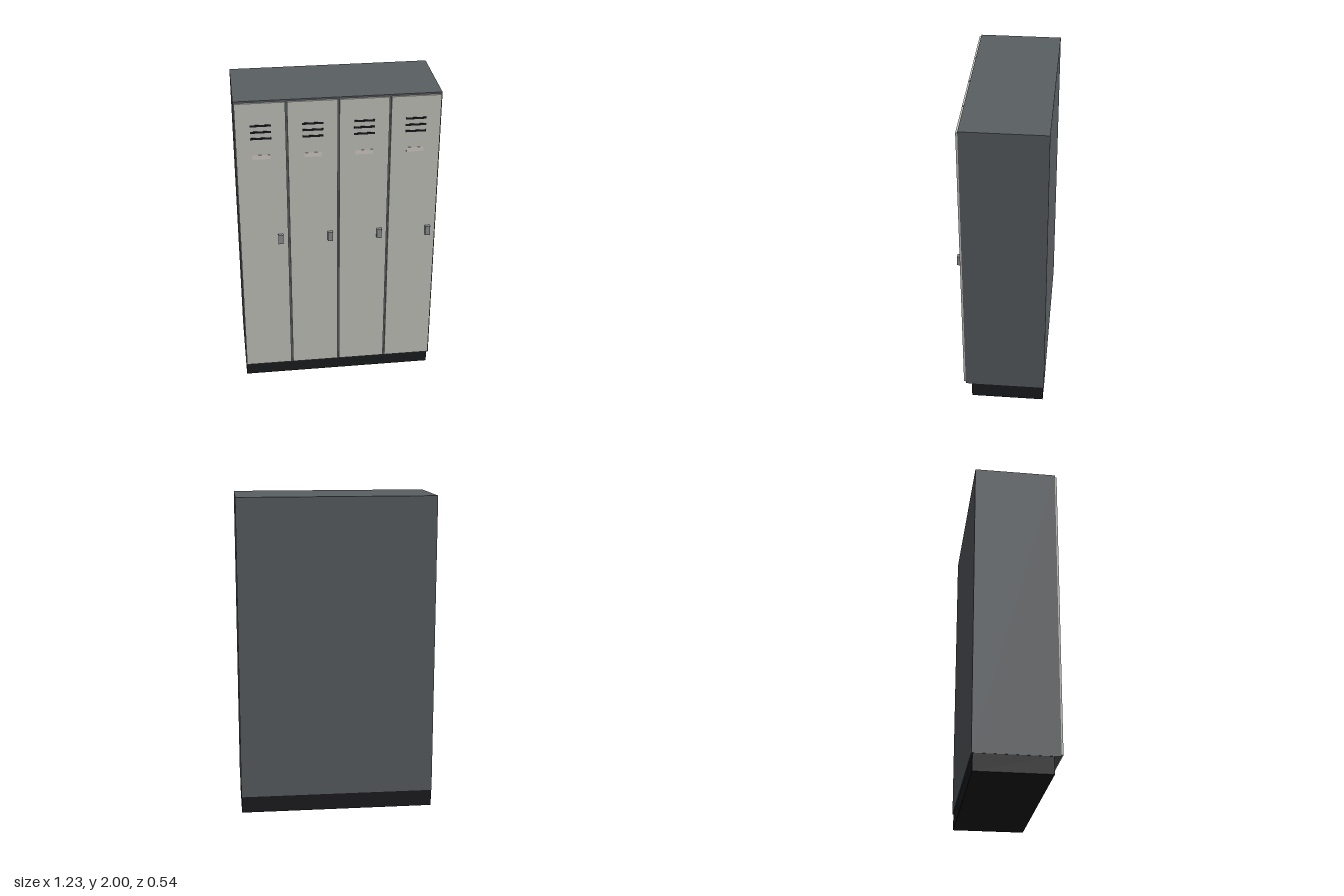
import * as THREE from 'three';

const mat = (color) => new THREE.MeshStandardMaterial({ color });

export function createModel() {
  const group = new THREE.Group();
  const steel = mat(0x5a5f63), paint = mat(0xc5c5be), plinthMat = mat(0x1c1d1f);
  const slotMat = mat(0x17181a), handleMat = mat(0x8f9194), labelMat = mat(0xd6cfc9);

  // Box given by its limits on each axis
  const box = (parent, name, material, [x0, x1], [y0, y1], [z0, z1]) => {
    const mesh = new THREE.Mesh(new THREE.BoxGeometry(x1 - x0, y1 - y0, z1 - z0), material);
    mesh.position.set((x0 + x1) / 2, (y0 + y1) / 2, (z0 + z1) / 2);
    mesh.name = name;
    parent.add(mesh);
  };

  // Cabinet on a plinth set back at the front
  box(group, 'cabinet', steel, [-0.614, 0.614], [0.106, 2], [-0.271, 0.238]);
  box(group, 'plinth', plinthMat, [-0.612, 0.612], [0, 0.106], [-0.265, 0.198]);

  // Four doors, each with vents, a label holder and a handle
  const pitch = 0.307;
  for (let i = 0; i < 4; i++) {
    const door = new THREE.Group();
    door.name = 'door' + (i + 1);
    door.position.x = (i - 1.5) * pitch;
    box(door, 'doorPanel', paint, [-0.148, 0.148], [0.117, 1.989], [0.238, 0.25]);
    for (let k = 0; k < 3; k++) {
      const y = 1.765 + k * 0.041;
      box(door, 'ventSlot', slotMat, [-0.062, 0.062], [y - 0.006, y + 0.006], [0.244, 0.253]);
    }
    box(door, 'labelHolder', labelMat, [-0.052, 0.052], [1.63, 1.658], [0.244, 0.252]);
    box(door, 'handle', handleMat, [0.085, 0.116], [1.048, 1.11], [0.248, 0.271]);
    group.add(door);
  }
  return group;
}
